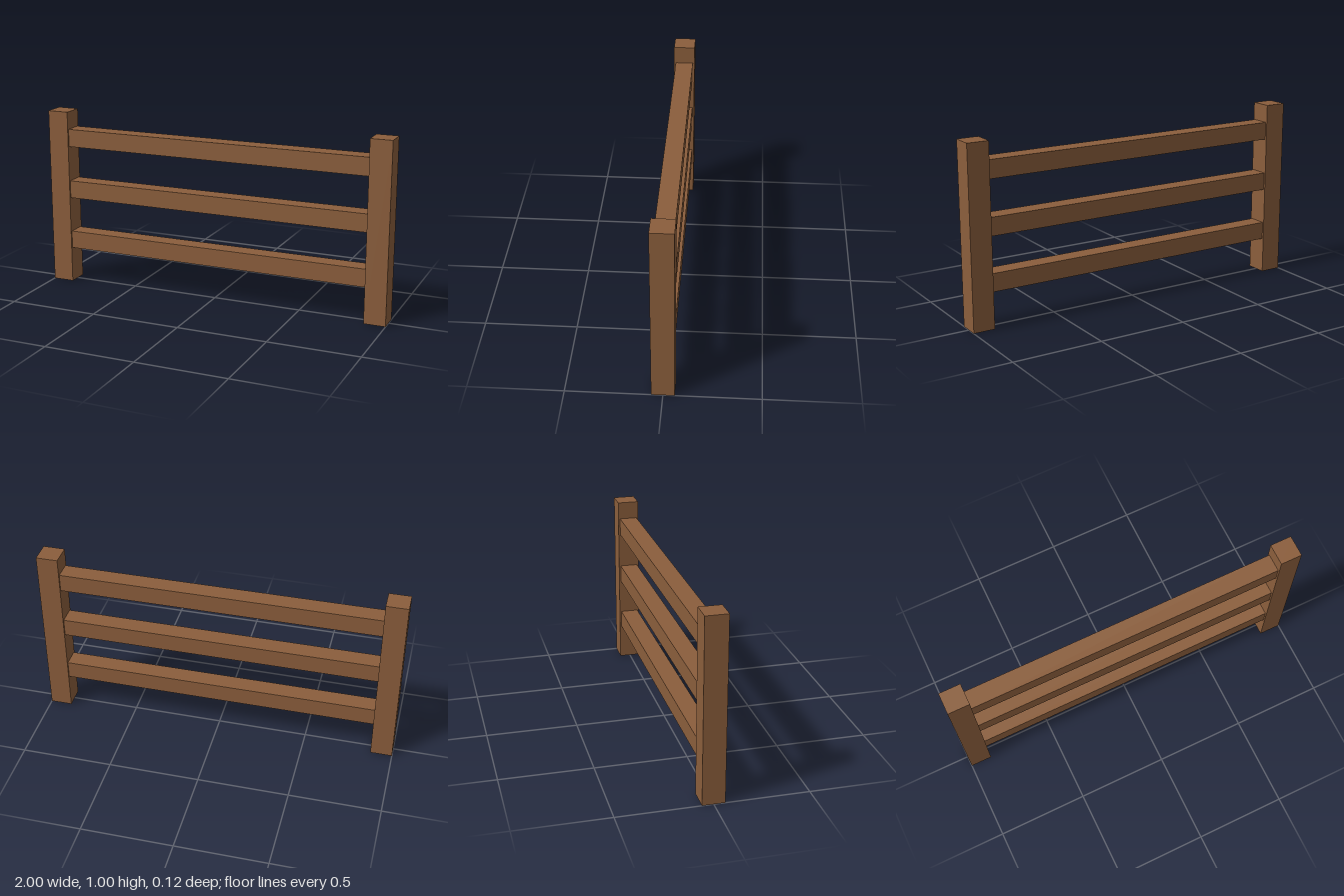
import * as THREE from 'three';

export function createModel() {
  const fence = new THREE.Group();
  fence.name = 'fence';
  const wood = new THREE.MeshStandardMaterial({ color: 0x8b5e3c });
  wood.name = 'brown wood';

  const addBeam = (name, w, h, d, x, y) => {
    const beam = new THREE.Mesh(new THREE.BoxGeometry(w, h, d), wood);
    beam.name = name;
    beam.position.set(x, y, 0);
    fence.add(beam);
  };

  // Square end posts
  addBeam('leftPost', 0.12, 1, 0.12, 0.94, 0.5);
  addBeam('rightPost', 0.12, 1, 0.12, -0.94, 0.5);

  // Horizontal rails butted between the posts
  const rails = { lowerRail: 0.25, middleRail: 0.55, upperRail: 0.85 };
  for (const [name, y] of Object.entries(rails)) addBeam(name, 1.76, 0.1, 0.1, 0, y);

  return fence;
}
